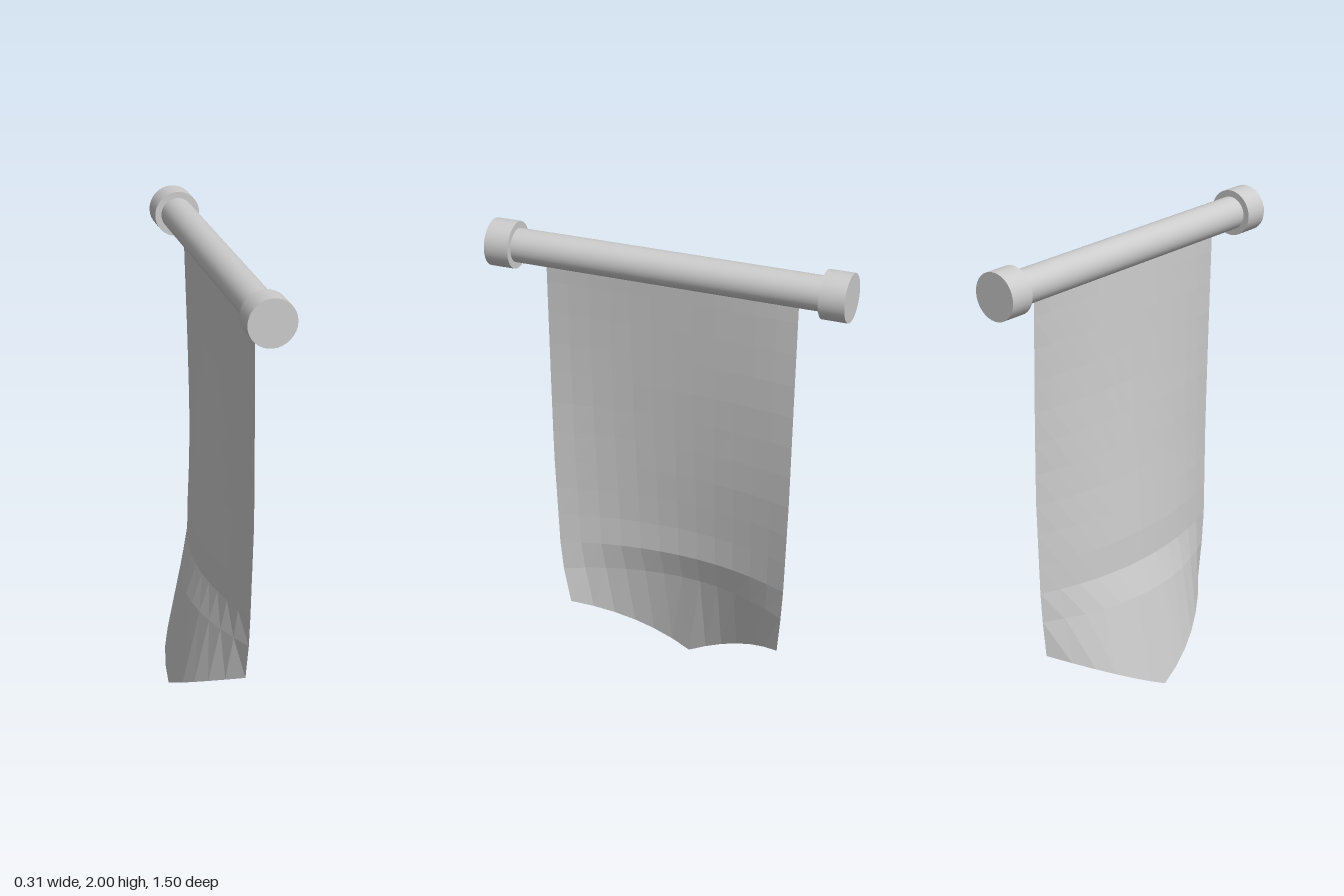
import * as THREE from 'three';

const POLE_X = 0.056, POLE_Y = 1.904;

// Piecewise-linear lookup in [key, value] pairs with falling keys
function sample(table, k) {
  if (k >= table[0][0]) return table[0][1];
  for (let i = 1; i < table.length; i++) {
    const [k0, v0] = table[i - 1], [k1, v1] = table[i];
    if (k >= k1) return v0 + (v1 - v0) * (k0 - k) / (k0 - k1);
  }
  return table[table.length - 1][1];
}

// Cloth profiles by height; key 0 is the pointed hem
const centreX = [[1.9, 0.055], [1.8, 0.05], [1.4, 0.03], [0.98, 0], [0.7, -0.025], [0.56, -0.031], [0.43, -0.075], [0, -0.155]];
const frontX = [[1.9, 0.055], [1.4, 0.062], [1.0, 0.066], [0.56, 0.058], [0, 0.052]];
const backX = [[1.9, 0.055], [1.4, 0.07], [1.0, 0.079], [0.56, 0.079], [0, 0.074]];
const frontZ = [[1.9, 0.524], [1.0, 0.512], [0.56, 0.5], [0.43, 0.488], [0, 0.46]];
const backZ = [[1.9, -0.542], [1.0, -0.535], [0.56, -0.522], [0.43, -0.514], [0, -0.5]];

function makeCloth(material) {
  const cols = 12, rows = 12;
  const geo = new THREE.PlaneGeometry(1, 1, cols, rows);
  const pos = geo.attributes.position;
  for (let j = 0; j <= rows; j++) {
    const hem = j === rows;
    const key = hem ? 0 : 1.9 - j * 1.47 / (rows - 1);
    for (let i = 0; i <= cols; i++) {
      const u = 1 - 2 * i / cols, a = Math.abs(u); // +1 front edge, -1 back edge
      const c = sample(centreX, key);
      const e = sample(u > 0 ? frontX : backX, key);
      const zMid = -0.012;
      const zEdge = sample(u > 0 ? frontZ : backZ, key);
      pos.setXYZ(j * (cols + 1) + i,
        c + (e - c) * a * a,
        hem ? 0.005 + 0.262 * a : key,
        zMid + (zEdge - zMid) * a);
    }
  }
  geo.computeVertexNormals();
  const cloth = new THREE.Mesh(geo, material);
  cloth.name = 'bannerCloth';
  return cloth;
}

export function createModel() {
  const group = new THREE.Group();
  group.name = 'hangingBanner';
  const wood = new THREE.MeshStandardMaterial({ color: 0xcccccc });
  const fabric = new THREE.MeshStandardMaterial({ color: 0xcccccc, flatShading: true, side: THREE.DoubleSide });

  // Round bar lying along z
  const bar = (name, radius, length, z) => {
    const geo = new THREE.CylinderGeometry(radius, radius, length, 32).rotateX(Math.PI / 2);
    const mesh = new THREE.Mesh(geo, wood);
    mesh.name = name;
    mesh.position.set(POLE_X, POLE_Y, z);
    group.add(mesh);
  };
  bar('pole', 0.069, 1.4, 0);
  bar('frontPoleCap', 0.096, 0.104, 0.698);
  bar('backPoleCap', 0.096, 0.104, -0.698);

  group.add(makeCloth(fabric));
  return group;
}
